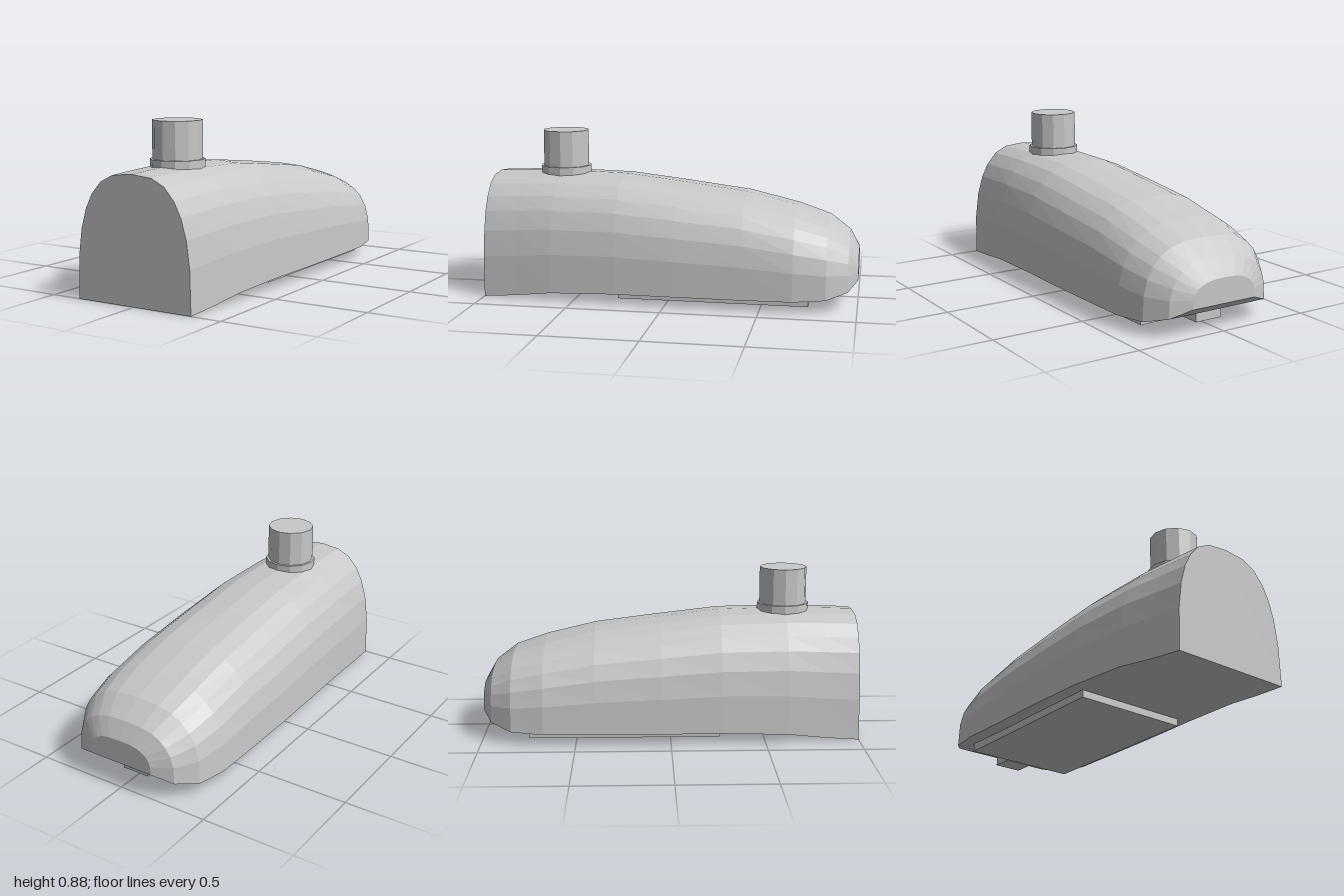
import * as THREE from 'three';

// Half of the dome-shaped cross-section: [fraction of half width, fraction of height]
const HALF = [[1, 0], [0.985, 0.34], [0.93, 0.555], [0.84, 0.715], [0.725, 0.83], [0.56, 0.927], [0.345, 0.983]];
const PROFILE = [...HALF, [0, 1], ...HALF.map(([x, y]) => [-x, y]).reverse()];

// Stations along the body: [z, half width, bottom, top]
const STATIONS = [
  [1, 0.335, 0, 0.645],
  [0.82, 0.352, 0.017, 0.651],
  [0.62, 0.373, 0.043, 0.655],
  [0.27, 0.392, 0.057, 0.645],
  [-0.05, 0.4, 0.058, 0.607],
  [-0.4, 0.4, 0.058, 0.562],
  [-0.67, 0.4, 0.06, 0.497],
  [-0.84, 0.37, 0.068, 0.44],
  [-0.95, 0.295, 0.098, 0.36],
  [-1, 0.19, 0.14, 0.272],
];

function bodyGeometry() {
  const n = PROFILE.length, last = (STATIONS.length - 1) * n;
  const positions = [], index = [];
  for (const [z, w, bottom, top] of STATIONS)
    for (const [px, py] of PROFILE) positions.push(px * w, bottom + py * (top - bottom), z);
  // Skin, including the flat underside that closes each ring
  for (let s = 0; s < STATIONS.length - 1; s++)
    for (let i = 0; i < n; i++) {
      const j = (i + 1) % n;
      const a = s * n + i, b = s * n + j, c = a + n, d = b + n;
      index.push(a, c, b, b, c, d);
    }
  // Flat end caps
  for (let i = 1; i < n - 1; i++) {
    index.push(0, i, i + 1);
    index.push(last, last + i + 1, last + i);
  }
  const g = new THREE.BufferGeometry();
  g.setAttribute('position', new THREE.Float32BufferAttribute(positions, 3));
  g.setIndex(index);
  const flat = g.toNonIndexed();
  flat.computeVertexNormals();
  return flat;
}

export function createModel() {
  const group = new THREE.Group();
  const grey = new THREE.MeshStandardMaterial({ color: 0xc8c8c8, flatShading: true });
  grey.name = 'grey';

  const add = (name, geometry, x, y, z) => {
    const mesh = new THREE.Mesh(geometry, grey);
    mesh.name = name;
    mesh.position.set(x, y, z);
    group.add(mesh);
  };
  const cylinder = (name, radius, y0, y1) =>
    add(name, new THREE.CylinderGeometry(radius, radius, y1 - y0, 12), 0, (y0 + y1) / 2, 0.62);
  const box = (name, width, y0, y1, z0, z1) =>
    add(name, new THREE.BoxGeometry(width, y1 - y0, z1 - z0), 0, (y0 + y1) / 2, (z0 + z1) / 2);

  add('body', bodyGeometry(), 0, 0, 0);

  // Stub pipe and its collar on top
  cylinder('collar', 0.14, 0.63, 0.685);
  cylinder('pipe', 0.127, 0.65, 0.88);

  // Panel and catch under the body
  box('basePanel', 0.64, 0.018, 0.07, -0.75, 0.26);
  box('catch', 0.155, 0.024, 0.075, -0.88, -0.768);

  return group;
}
